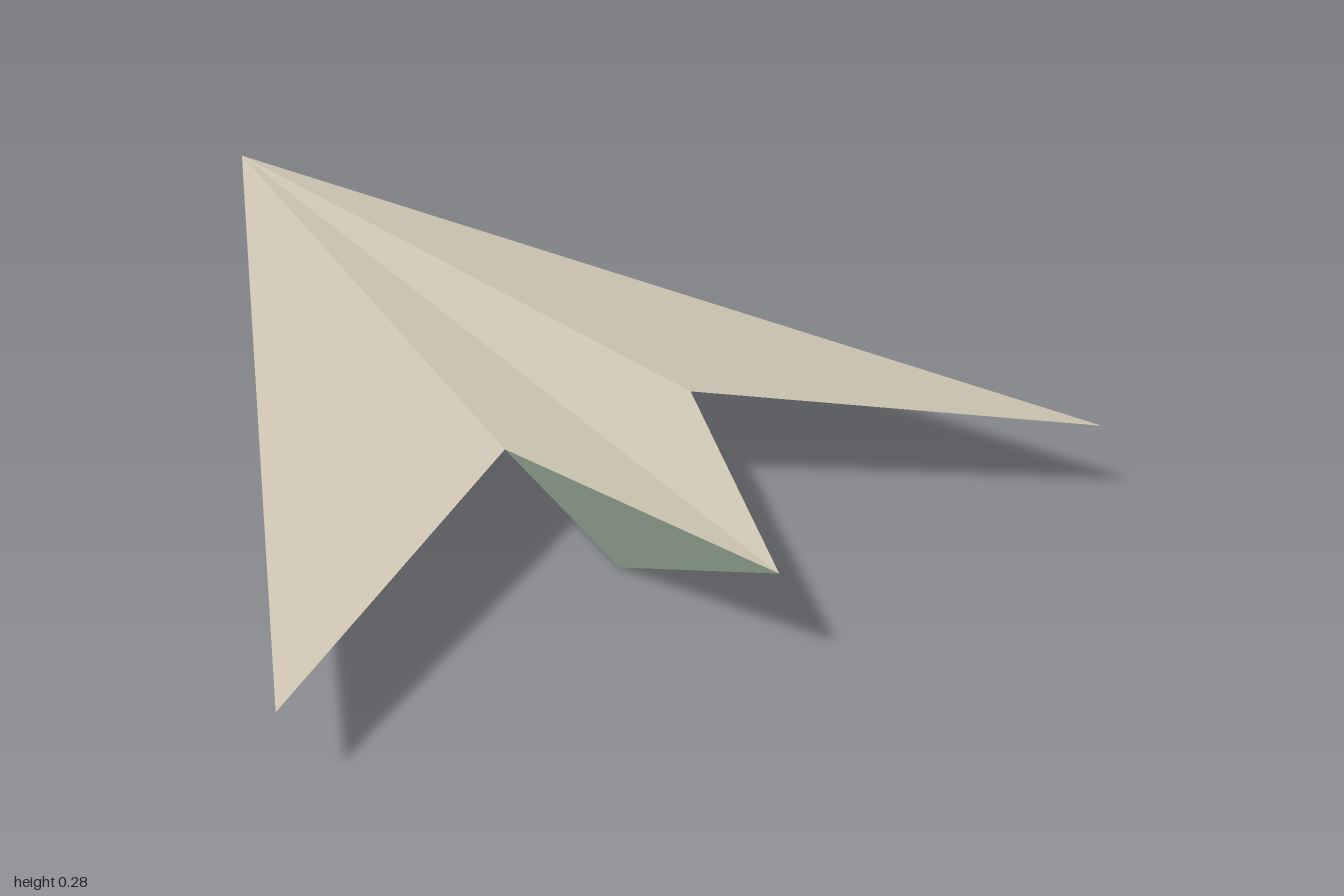
import * as THREE from 'three';

// Fold points of the dart: the tail end faces +z, the nose points to -z
const nose = [0, 0.21, -1];
const tail = [0, 0.26, 1];
const keel = [0, 0, 0.53];
const notch = (s) => [s * 0.2, 0.275, 0.45];
const wingTip = (s) => [s * 0.86, 0.2, 0.84];

function panel(name, material, a, b, c) {
  const geometry = new THREE.BufferGeometry();
  geometry.setAttribute('position', new THREE.Float32BufferAttribute([...a, ...b, ...c], 3));
  geometry.computeVertexNormals();
  const mesh = new THREE.Mesh(geometry, material);
  mesh.name = name;
  return mesh;
}

export function createModel() {
  const paper = new THREE.MeshStandardMaterial({ color: 0xcfc6b4, side: THREE.DoubleSide, flatShading: true });
  paper.name = 'cream paper';
  const lining = new THREE.MeshStandardMaterial({ color: 0xb0c6ae, side: THREE.DoubleSide, flatShading: true });
  lining.name = 'pale green paper';

  const plane = new THREE.Group();
  plane.name = 'paperPlane';

  // Wings and the shallow valley between them, wound to face up
  for (const [side, s] of [['left', 1], ['right', -1]]) {
    const up = (name, a, b, c) =>
      plane.add(s > 0 ? panel(name, paper, a, b, c) : panel(name, paper, a, c, b));
    up(`${side}Wing`, nose, notch(s), wingTip(s));
    up(`${side}CentrePanel`, nose, tail, notch(s));
  }

  // Keel: one folded sheet hanging from the right-hand crease
  plane.add(panel('keelSide', lining, nose, notch(-1), keel));
  plane.add(panel('keelEnd', lining, tail, keel, notch(-1)));

  return plane;
}
